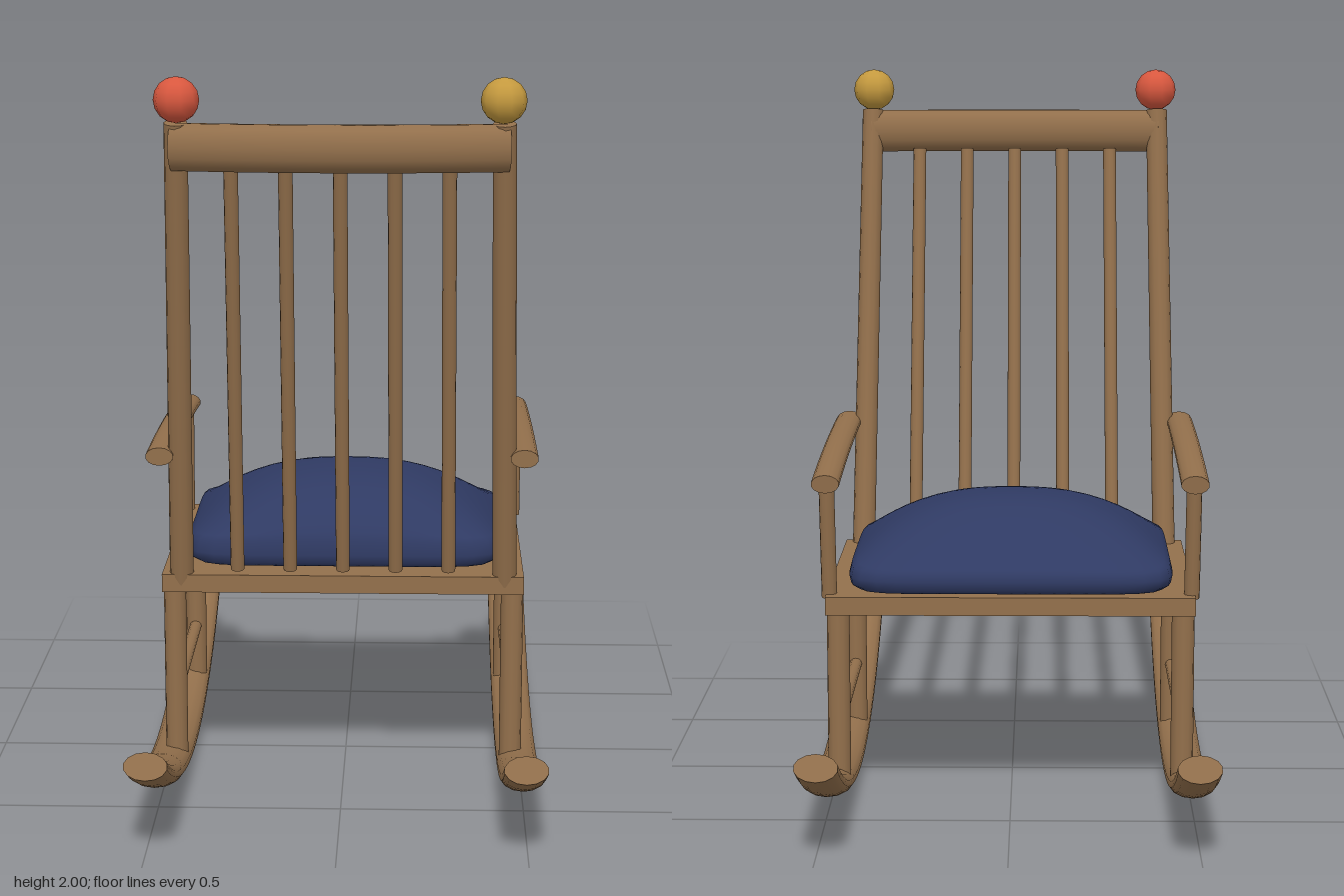
import * as THREE from 'three';

const paint = (name, hex) => {
  const m = new THREE.MeshStandardMaterial({ color: hex });
  m.name = name;
  return m;
};
const V = (x, y, z) => new THREE.Vector3(x, y, z);

// Straight round bar between two points
function barGeometry(from, to, rTop, rBottom = rTop) {
  const d = to.clone().sub(from);
  const g = new THREE.CylinderGeometry(rTop, rBottom, d.length(), 12);
  g.applyQuaternion(new THREE.Quaternion().setFromUnitVectors(V(0, 1, 0), d.normalize()));
  return g.translate(...from.clone().add(to).multiplyScalar(0.5).toArray());
}

// Oval bar bent along a curve; a is the radius along the side axis, b across it
function bentGeometry(curve, side, a, b, steps) {
  const g = new THREE.CylinderGeometry(1, 1, 1, 14, steps);
  const pos = g.attributes.position, nor = g.attributes.normal;
  for (let i = 0; i < pos.count; i++) {
    const t = THREE.MathUtils.clamp(pos.getY(i) + 0.5, 0, 1);
    const T = curve.getTangent(t), N = side.clone().cross(T);
    const p = curve.getPoint(t)
      .addScaledVector(side, a * pos.getX(i)).addScaledVector(N, b * pos.getZ(i));
    const n = V(0, 0, 0).addScaledVector(side, nor.getX(i) / a)
      .addScaledVector(T, nor.getY(i)).addScaledVector(N, nor.getZ(i) / b).normalize();
    pos.setXYZ(i, p.x, p.y, p.z);
    nor.setXYZ(i, n.x, n.y, n.z);
  }
  return g;
}

// Domed pillow lofted from rounded-square rings
function cushionGeometry() {
  const seg = 72, halfX = 0.445, halfZ = 0.355, midZ = -0.1;
  const rings = [[0, 0.615], [0.95, 0.615], [0.99, 0.628], [1, 0.65]];
  for (const s of [0.985, 0.95, 0.9, 0.84, 0.77, 0.69, 0.6, 0.5, 0.4, 0.3, 0.2, 0.1, 0]) rings.push([s, null]);
  const swell = (u, p) => Math.pow(Math.max(0, 1 - Math.pow(Math.abs(u), 2.5)), p);
  const pts = [], idx = [];
  rings.forEach(([s, y], r) => {
    for (let i = 0; i < seg; i++) {
      const a = (i / seg) * Math.PI * 2, c = Math.cos(a), d = Math.sin(a);
      const k = s * Math.pow(Math.abs(c) ** 8 + Math.abs(d) ** 8, -1 / 8);
      const u = c * k, v = d * k;
      const h = y ?? 0.67 + 0.165 * swell(u, 0.9) * swell(v, v > 0 ? 0.65 : 1.3);
      pts.push(u * halfX, h, midZ + v * halfZ);
      if (r > 0) {
        const j = (i + 1) % seg, lo = (r - 1) * seg, hi = r * seg;
        idx.push(lo + i, hi + i, lo + j, lo + j, hi + i, hi + j);
      }
    }
  });
  const g = new THREE.BufferGeometry();
  g.setAttribute('position', new THREE.Float32BufferAttribute(pts, 3));
  g.setIndex(idx);
  g.computeVertexNormals();
  // Flat poles, where the ring collapses to a point
  const n = g.attributes.normal, last = (rings.length - 1) * seg;
  for (let i = 0; i < seg; i++) {
    n.setXYZ(i, 0, -1, 0);
    n.setXYZ(last + i, 0, 1, 0);
  }
  return g;
}

export function createModel() {
  const model = new THREE.Group();
  model.name = 'rockingChair';
  const wood = paint('wood', 0x93704c);
  const blue = paint('navyFabric', 0x2f3a63);
  const red = paint('redPaint', 0xd9583f);
  const gold = paint('goldPaint', 0xc59a3f);
  const add = (name, geometry, material = wood) => {
    const m = new THREE.Mesh(geometry, material);
    m.name = name;
    model.add(m);
    return m;
  };

  // Seat board and cushion
  add('seat', new THREE.BoxGeometry(1, 0.05, 0.776)).position.set(0, 0.585, -0.071);
  add('cushion', cushionGeometry(), blue);

  for (const s of [-1, 1]) {
    const side = s < 0 ? 'right' : 'left';

    // Rocker: circular arc
    const R = 1.89, arc = [];
    for (let i = -8; i <= 8; i++) {
      const a = (i / 8) * 0.496;
      arc.push(V(s * 0.49, 0.037 + R * (1 - Math.cos(a)), R * Math.sin(a)));
    }
    add(side + 'Rocker', bentGeometry(new THREE.CatmullRomCurve3(arc), V(1, 0, 0), 0.058, 0.037, 32));

    // Legs and stretcher
    const x = s * 0.47;
    add(side + 'BackLeg', barGeometry(V(x, 0.06, 0.254), V(x, 0.57, 0.254), 0.031));
    add(side + 'FrontLeg', barGeometry(V(x, 0.08, -0.39), V(x, 0.57, -0.39), 0.031));
    add(side + 'Stretcher', barGeometry(V(x, 0.25, 0.254), V(x, 0.25, -0.39), 0.018));

    // Back post with ball finial
    add(side + 'BackPost', barGeometry(V(s * 0.447, 0.585, 0.285), V(s * 0.424, 1.88, 0.526), 0.031, 0.033));
    add(side + 'Finial', new THREE.SphereGeometry(0.06, 10, 8), s < 0 ? red : gold)
      .position.set(s * 0.421, 1.94, 0.534);

    // Armrest and its post
    const arm = new THREE.QuadraticBezierCurve3(
      V(s * 0.494, 0.963, 0.393), V(s * 0.494, 0.964, -0.05), V(s * 0.494, 0.924, -0.485));
    add(side + 'Armrest', bentGeometry(arm, V(1, 0, 0), 0.038, 0.025, 12));
    add(side + 'ArmPost', barGeometry(V(s * 0.492, 0.6, -0.405), V(s * 0.494, 0.925, -0.442), 0.021));
  }

  // Curved top rail
  const rail = new THREE.QuadraticBezierCurve3(V(-0.435, 1.818, 0.525), V(0, 1.818, 0.6), V(0.435, 1.818, 0.525));
  add('topRail', bentGeometry(rail, V(0, 1, 0), 0.063, 0.042, 16));

  // Back spindles
  for (let i = -2; i <= 2; i++) {
    add('spindle', barGeometry(V(i * 0.146, 0.62, 0.285), V(i * 0.142, 1.765, 0.512), 0.019));
  }
  return model;
}
